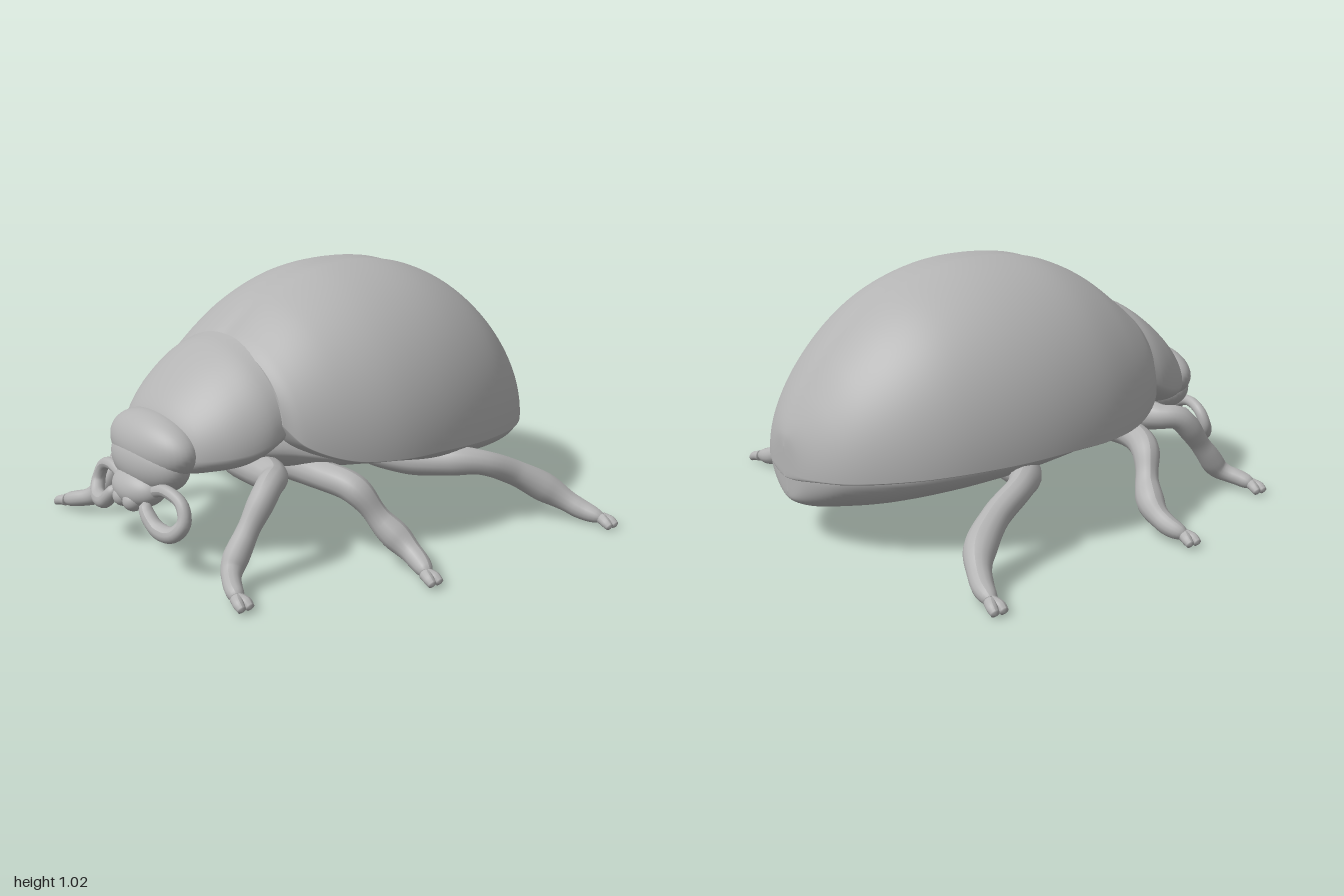
import * as THREE from 'three';

const grey = new THREE.MeshStandardMaterial({ color: 0xb3b3b3 });
grey.name = 'grey shell';

function part(parent, name, geometry) {
  const mesh = new THREE.Mesh(geometry, grey);
  mesh.name = name;
  parent.add(mesh);
  return mesh;
}

// Body loft, front to back. Each station: [z, half width, top y, rim y, bottom y]
function loft(stations, rings, sides, bend = (v) => v) {
  const a = new THREE.CatmullRomCurve3(stations.map((s) => new THREE.Vector3(s[0], s[1], s[2])));
  const b = new THREE.CatmullRomCurve3(stations.map((s) => new THREE.Vector3(s[3], s[4], s[0])));
  const pos = [], index = [];
  const ring = (t) => {
    const p = a.getPoint(t), q = b.getPoint(t);
    for (let j = 0; j < sides; j++) {
      const ang = (j / sides) * Math.PI * 2, k = Math.sin(ang);
      const y = q.x + k * (k > 0 ? p.z - q.x : q.x - q.y);
      const v = bend(new THREE.Vector3(Math.max(p.y, 0.002) * Math.cos(ang), y, p.x), k);
      pos.push(v.x, v.y, v.z);
    }
    return [0, (q.x + p.z) / 2, p.x];
  };
  for (let i = 0; i <= rings; i++) ring(i / rings);
  for (let i = 0; i < rings; i++) {
    for (let j = 0; j < sides; j++) {
      const n = (j + 1) % sides, r = i * sides, r2 = r + sides;
      index.push(r + j, r2 + j, r + n, r + n, r2 + j, r2 + n);
    }
  }
  // end caps with their own vertices, so the edges stay crisp
  for (const t of [0, 1]) {
    const start = pos.length / 3, middle = ring(t), c = pos.length / 3;
    pos.push(...middle);
    for (let j = 0; j < sides; j++) {
      const n = (j + 1) % sides;
      if (t === 0) index.push(c, start + j, start + n);
      else index.push(c, start + n, start + j);
    }
  }
  const g = new THREE.BufferGeometry();
  g.setAttribute('position', new THREE.Float32BufferAttribute(pos, 3));
  g.setIndex(index);
  g.computeVertexNormals();
  return g;
}

// Tube with a changing radius and rounded ends
function limb(points, radii, side, seg = 40) {
  const curve = new THREE.CatmullRomCurve3(points.map((p) => new THREE.Vector3(p[0] * side, p[1], p[2])));
  const g = new THREE.TubeGeometry(curve, seg, 1, 14);
  const pos = g.attributes.position, v = new THREE.Vector3();
  for (let i = 0; i <= seg; i++) {
    const u = i / seg, c = curve.getPointAt(u);
    const f = u * (radii.length - 1), k = Math.min(Math.floor(f), radii.length - 2);
    const end = Math.min(u, 1 - u) / 0.06;
    const r = THREE.MathUtils.lerp(radii[k], radii[k + 1], THREE.MathUtils.smoothstep(f - k, 0, 1))
      * (end < 1 ? Math.sqrt(1 - (1 - end) ** 2) : 1);
    for (let j = 0; j <= 14; j++) {
      const n = i * 15 + j;
      v.fromBufferAttribute(pos, n).sub(c).multiplyScalar(r).add(c);
      pos.setXYZ(n, v.x, v.y, v.z);
    }
  }
  g.computeVertexNormals();
  return g;
}

function ellipsoid(parent, name, center, size, tilt = 0) {
  const m = part(parent, name, new THREE.SphereGeometry(1, 40, 28));
  m.position.set(...center);
  m.scale.set(...size);
  m.rotation.x = tilt;
}

const LEGS = [
  { name: 'frontLeg', path: [[0.1, 0.35, 0.54], [0.25, 0.335, 0.52], [0.38, 0.34, 0.54], [0.43, 0.335, 0.6], [0.455, 0.18, 0.73], [0.475, 0.09, 0.8], [0.55, 0.06, 0.85], [0.615, 0.045, 0.87]],
    radii: [0.06, 0.065, 0.065, 0.05, 0.05, 0.042, 0.048, 0.034, 0.03] },
  { name: 'middleLeg', path: [[0.12, 0.32, 0.33], [0.25, 0.315, 0.34], [0.42, 0.315, 0.34], [0.56, 0.29, 0.305], [0.65, 0.17, 0.245], [0.72, 0.11, 0.215], [0.8, 0.07, 0.215], [0.885, 0.045, 0.24]],
    radii: [0.06, 0.065, 0.06, 0.056, 0.056, 0.044, 0.055, 0.04, 0.03] },
  { name: 'hindLeg', path: [[0.1, 0.245, -0.13], [0.28, 0.245, -0.16], [0.47, 0.265, -0.21], [0.6, 0.265, -0.32], [0.66, 0.2, -0.47], [0.74, 0.12, -0.59], [0.85, 0.06, -0.65], [0.955, 0.04, -0.675]],
    radii: [0.06, 0.065, 0.07, 0.062, 0.05, 0.052, 0.06, 0.042, 0.03] },
];

export function createModel() {
  const model = new THREE.Group();
  model.name = 'beetle';

  // Domed wing cases, with a seam and a notch at the front
  part(model, 'wingCases', loft([
    [0.5, 0.385, 0.79, 0.53, 0.5], [0.45, 0.455, 0.83, 0.46, 0.43], [0.3, 0.545, 0.935, 0.395, 0.36],
    [0.1, 0.61, 1.01, 0.375, 0.345], [-0.1, 0.628, 1.03, 0.37, 0.34], [-0.3, 0.612, 1.012, 0.355, 0.325],
    [-0.5, 0.563, 0.945, 0.34, 0.31], [-0.65, 0.495, 0.85, 0.325, 0.295], [-0.79, 0.395, 0.715, 0.31, 0.28],
    [-0.88, 0.3, 0.595, 0.3, 0.27], [-0.935, 0.205, 0.5, 0.295, 0.265], [-0.96, 0.12, 0.44, 0.29, 0.26],
    [-0.968, 0.01, 0.39, 0.29, 0.26],
  ], 90, 120, (v, k) => {
    if (k > 0) {
      v.y -= 0.01 * Math.exp(-((v.x / 0.04) ** 2)) * k;
      v.z -= 0.01 * Math.exp(-((v.x / 0.05) ** 2)) * THREE.MathUtils.smoothstep(v.z, 0.3, 0.5);
    }
    return v;
  }));

  // Underside of the body, narrowing towards the belly
  part(model, 'abdomen', loft([
    [0.6, 0.28, 0.5, 0.42, 0.31], [0.45, 0.37, 0.6, 0.41, 0.29], [0.3, 0.48, 0.6, 0.39, 0.28],
    [0, 0.575, 0.6, 0.37, 0.245], [-0.25, 0.58, 0.6, 0.35, 0.19], [-0.5, 0.535, 0.55, 0.33, 0.155],
    [-0.7, 0.45, 0.5, 0.31, 0.14], [-0.84, 0.338, 0.42, 0.3, 0.142], [-0.91, 0.25, 0.36, 0.29, 0.15],
    [-0.95, 0.145, 0.33, 0.28, 0.17], [-0.96, 0.01, 0.3, 0.27, 0.2],
  ], 60, 64, (v, k) => {
    if (k < 0) v.x *= 1 + 0.12 * k;
    return v;
  }));

  // Shield behind the head
  part(model, 'pronotum', loft([
    [0.825, 0.02, 0.46, 0.42, 0.4], [0.815, 0.17, 0.54, 0.42, 0.34], [0.78, 0.25, 0.595, 0.42, 0.33],
    [0.7, 0.325, 0.675, 0.43, 0.33], [0.62, 0.368, 0.738, 0.445, 0.335], [0.55, 0.386, 0.78, 0.47, 0.36],
    [0.485, 0.385, 0.803, 0.5, 0.39],
  ], 48, 64));

  // Head and mouth
  const head = new THREE.Group();
  head.name = 'head';
  model.add(head);
  ellipsoid(head, 'skull', [0, 0.435, 0.805], [0.248, 0.125, 0.118]);
  ellipsoid(head, 'face', [0, 0.375, 0.825], [0.215, 0.12, 0.108], 0.2);
  ellipsoid(head, 'muzzle', [0, 0.285, 0.875], [0.135, 0.075, 0.088], 0.3);

  for (const side of [1, -1]) {
    const label = side > 0 ? 'left' : 'right';
    ellipsoid(head, label + 'Mandible', [0.035 * side, 0.245, 0.922], [0.042, 0.04, 0.043]);

    // Curled antenna with a thicker tip
    part(head, label + 'Antenna', limb([
      [0.09, 0.285, 0.88], [0.19, 0.315, 0.88], [0.275, 0.285, 0.87], [0.3, 0.225, 0.88],
      [0.265, 0.178, 0.905], [0.19, 0.178, 0.92], [0.13, 0.22, 0.925], [0.1, 0.26, 0.92],
    ], [0.026, 0.023, 0.023, 0.025, 0.029, 0.032, 0.029, 0.024], side));

    // Legs with a pair of claws each
    for (const { name, path, radii } of LEGS) {
      const leg = new THREE.Group();
      leg.name = label + name[0].toUpperCase() + name.slice(1);
      model.add(leg);
      part(leg, 'limb', limb(path, radii, side, 60));
      const [x, y, z] = path[path.length - 1];
      for (const k of [-1, 1]) {
        part(leg, 'claw', limb([[x - 0.02, y, z], [x + 0.012, y - 0.005, z + 0.015 * k], [x + 0.042, y - 0.022, z + 0.018 * k]],
          [0.024, 0.02, 0.015], side, 12));
      }
    }
  }
  return model;
}
